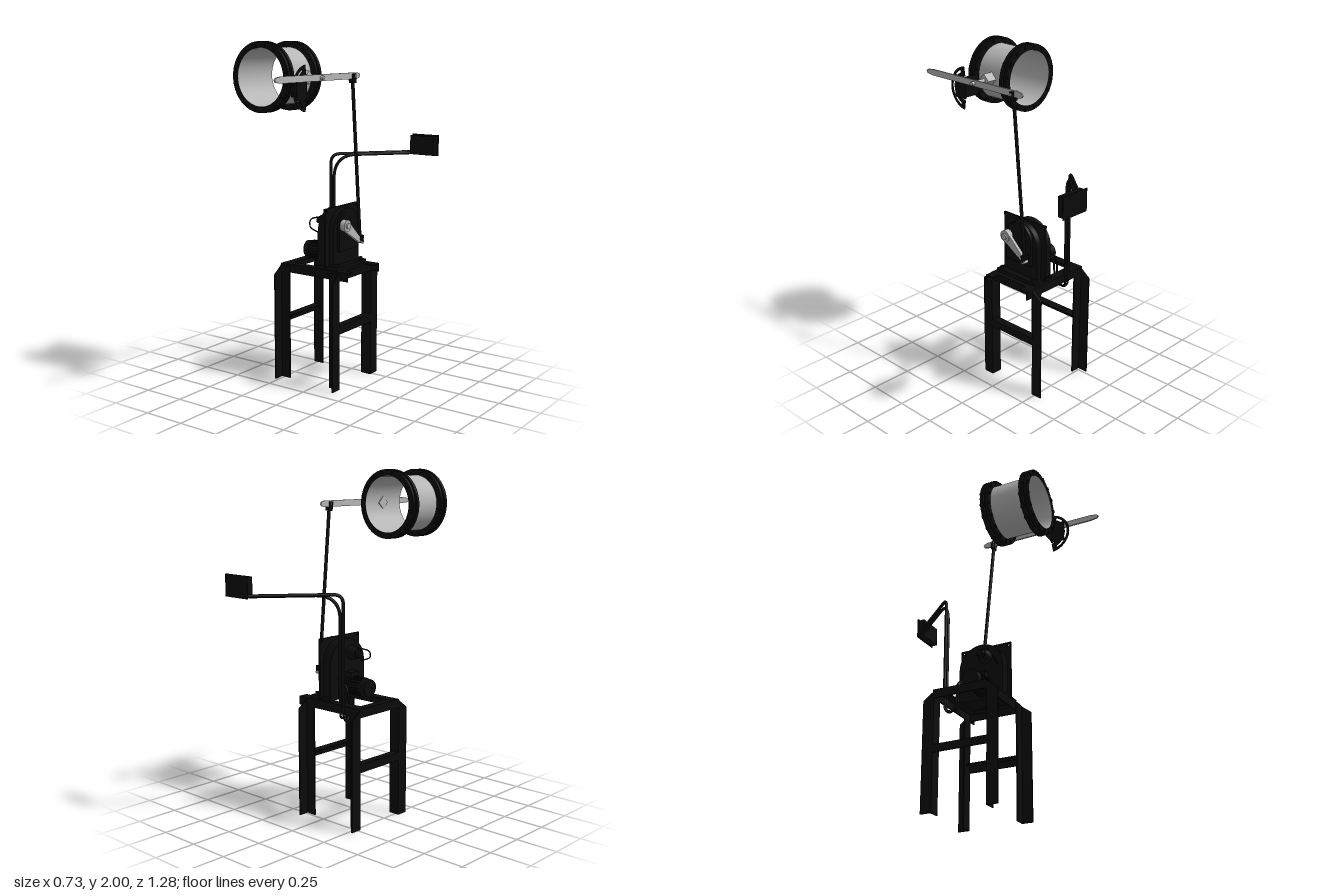
import * as THREE from 'three';

const mat = (name, color) => Object.assign(new THREE.MeshStandardMaterial({ color }), { name });

export function createModel() {
  const root = new THREE.Group();
  const black = mat('black paint', 0x0b0b0b);
  const steel = mat('bare steel', 0xb6b6b6);
  const shell = mat('pipe steel', 0xb6b6b6);
  shell.side = THREE.DoubleSide;
  const v = (x, y, z) => new THREE.Vector3(x, y, z);

  const add = (name, geo, m = black, parent = root) => {
    const mesh = new THREE.Mesh(geo, m);
    mesh.name = name;
    parent.add(mesh);
    return mesh;
  };
  const group = (name) => {
    const g = new THREE.Group();
    g.name = name;
    root.add(g);
    return g;
  };
  // Box given by its limits on each axis
  const box = (name, x0, x1, y0, y1, z0, z1, m, parent) =>
    add(name, new THREE.BoxGeometry(x1 - x0, y1 - y0, z1 - z0)
      .translate((x0 + x1) / 2, (y0 + y1) / 2, (z0 + z1) / 2), m, parent);
  // Round bar between two points
  const bar = (name, a, b, r0, r1 = r0, m = black, parent = root, sides = 20) => {
    const mesh = add(name, new THREE.CylinderGeometry(r1, r0, a.distanceTo(b), sides), m, parent);
    mesh.position.copy(a).lerp(b, 0.5);
    mesh.quaternion.setFromUnitVectors(v(0, 1, 0), b.clone().sub(a).normalize());
    return mesh;
  };
  // Outline drawn in (z, y), extruded from x0 to x1
  const sidePlate = (name, shape, x0, x1, m, parent) =>
    add(name, new THREE.ExtrudeGeometry(shape, { depth: x1 - x0, bevelEnabled: false, curveSegments: 24 })
      .rotateY(Math.PI / 2).translate(x0, 0, 0), m, parent);
  const outline = (pts) => new THREE.Shape(pts.map(([z, y]) => new THREE.Vector2(-z, y)));

  // Stand: four angle-iron legs with bevelled tops
  const stand = group('stand');
  for (const sx of [-1, 1]) {
    const x = sx < 0 ? -0.274 : 0.15;
    for (const sz of [-1, 1]) {
      const z = sz < 0 ? -0.23 : 0.098, zo = z + sz * 0.068;
      sidePlate('legSideFlange', outline([[z, 0], [zo, 0], [zo, 0.642], [z, 0.692]]),
        Math.min(x, x - sx * 0.008), Math.max(x, x - sx * 0.008), black, stand);
      box('legFrontFlange', Math.min(x, x - sx * 0.068), Math.max(x, x - sx * 0.068), 0, 0.69,
        Math.min(z, z + sz * 0.008), Math.max(z, z + sz * 0.008), black, stand);
    }
    // Side brace and side rail, both angles
    const xi = x - sx * 0.008, xf = x - sx * 0.05;
    for (const [name, y0, y1] of [['sideBrace', 0.334, 0.38], ['sideRail', 0.65, 0.7]]) {
      box(name, Math.min(x, xi), Math.max(x, xi), y0, y1, -0.23, 0.098, black, stand);
      box(name + 'Flange', Math.min(x, xf), Math.max(x, xf), y1 - 0.008, y1, -0.23, 0.098, black, stand);
    }
  }
  // Long rails across the top
  box('frontRail', -0.274, 0.2, 0.65, 0.7, 0.085, 0.093, black, stand);
  box('frontRailTop', -0.274, 0.2, 0.693, 0.701, 0.04, 0.093, black, stand);
  box('backRail', -0.274, 0.2, 0.65, 0.7, -0.238, -0.23, black, stand);
  box('backRailTop', -0.274, 0.2, 0.693, 0.701, -0.238, -0.18, black, stand);

  // Gearbox: arched housing on both sides of a square plate with corner holes
  const gearbox = group('gearbox');
  box('gearboxBase', -0.025, 0.12, 0.7, 0.72, -0.22, 0.085, black, gearbox);
  const square = outline([[0.093, 0.71], [-0.232, 0.71], [-0.232, 1.056], [0.093, 1.056]]);
  for (const z of [0.078, -0.217]) {
    const hole = new THREE.Path();
    hole.absarc(-z, 1.041, 0.007, 0, Math.PI * 2, true);
    square.holes.push(hole);
  }
  sidePlate('gearboxPlate', square, 0.035, 0.047, black, gearbox);
  const arch = (r, base) => {
    const s = new THREE.Shape();
    s.moveTo(0.07 - r, base);
    s.lineTo(0.07 + r, base);
    s.absarc(0.07, 1.045 - r, r, 0, Math.PI, false);
    return s;
  };
  sidePlate('innerHousing', arch(0.14, 0.72), -0.025, 0.035, black, gearbox);
  sidePlate('outerHousing', arch(0.13, 0.72), 0.047, 0.08, black, gearbox);
  sidePlate('outerCover', arch(0.095, 0.8), 0.08, 0.098, black, gearbox);
  for (const z of [-0.19, 0.06]) {
    bar('footBolt', v(0.1, 0.7, z), v(0.1, 0.735, z), 0.012, 0.012, black, gearbox, 6);
  }

  // Motor with cooling ribs, fan cover and terminal box
  const motor = group('motor');
  bar('motorBody', v(-0.145, 0.775, -0.055), v(-0.02, 0.775, -0.055), 0.05, 0.05, black, motor);
  bar('fanCover', v(-0.187, 0.775, -0.055), v(-0.145, 0.775, -0.055), 0.05, 0.055, black, motor);
  bar('motorFlange', v(-0.04, 0.775, -0.055), v(-0.02, 0.775, -0.055), 0.06, 0.06, black, motor);
  for (let i = 0; i < 20; i++) {
    const a = (i / 20) * Math.PI * 2;
    add('coolingRib', new THREE.BoxGeometry(0.1, 0.012, 0.004).translate(0, 0.05, 0)
      .rotateX(a).translate(-0.095, 0.775, -0.055), black, motor);
  }
  box('terminalBox', -0.07, -0.01, 0.82, 0.855, -0.09, -0.02, black, motor);

  // Rotary switch above the motor
  const rotary = group('rotarySwitch');
  bar('switchBody', v(-0.08, 0.96, -0.04), v(-0.02, 0.96, -0.04), 0.03, 0.045, black, rotary);
  bar('switchCap', v(-0.1, 0.96, -0.04), v(-0.08, 0.96, -0.04), 0.02, 0.024, black, rotary);
  add('switchCable', new THREE.TubeGeometry(new THREE.CatmullRomCurve3([
    v(-0.07, 0.985, -0.01), v(-0.11, 0.97, 0.02), v(-0.1, 0.93, 0.04), v(-0.03, 0.9, 0.04)]), 24, 0.004, 8), black, rotary);

  // Crank on the output shaft
  const crank = group('crank');
  bar('crankShaft', v(0.09, 0.955, 0), v(0.148, 0.955, 0), 0.018, 0.018, steel, crank);
  bar('crankHub', v(0.105, 0.955, 0), v(0.138, 0.955, 0), 0.034, 0.034, steel, crank);
  sidePlate('crankArm', outline([[0.03, 0.965], [0.016, 0.925], [-0.14, 0.829], [-0.158, 0.83],
    [-0.155, 0.85], [-0.015, 0.982]]), 0.114, 0.133, steel, crank);
  bar('crankPin', v(0.108, 0.84, -0.148), v(0.145, 0.84, -0.148), 0.012, 0.012, steel, crank);

  // Connecting rod with forked ends
  const rod = group('connectingRod');
  const rodTop = v(0.124, 1.81, -0.06), rodLow = v(0.124, 0.838, -0.148);
  const at = (t) => rodLow.clone().lerp(rodTop, t);
  bar('rodBar', at(0.01), at(0.96), 0.01, 0.01, black, rod);
  for (const [a, b] of [[0, 0.04], [0.955, 1.008]]) {
    for (const dx of [-0.0125, 0.0125]) {
      bar('forkCheek', at(a).add(v(dx, 0, 0)), at(b).add(v(dx, 0, 0)), 0.011, 0.014, black, rod, 8);
    }
  }
  bar('forkPin', v(0.1, 1.805, -0.06), v(0.15, 1.805, -0.06), 0.009, 0.009, steel, rod);

  // Pipe section with paired flanges and studs
  const cx = -0.17, cy = 1.806, pipe = group('pipeSection');
  add('pipe', new THREE.CylinderGeometry(0.159, 0.159, 0.3, 64, 1, true)
    .rotateX(Math.PI / 2).translate(cx, cy, 0.248), shell, pipe);
  const ring = (name, ro, ri, z0, z1) => {
    const s = new THREE.Shape().absarc(0, 0, ro, 0, Math.PI * 2, false);
    s.holes.push(new THREE.Path().absarc(0, 0, ri, 0, Math.PI * 2, true));
    add(name, new THREE.ExtrudeGeometry(s, { depth: z1 - z0, bevelEnabled: false, curveSegments: 64 })
      .translate(cx, cy, z0), black, pipe);
  };
  for (const z of [0.093, 0.342]) {
    ring('flange', 0.194, 0.16, z + 0.004, z + 0.023);
    ring('gasket', 0.17, 0.16, z + 0.023, z + 0.036);
    ring('flange', 0.194, 0.16, z + 0.036, z + 0.056);
    for (let i = 0; i < 16; i++) {
      const a = ((i + 0.5) / 16) * Math.PI * 2;
      const x = cx + Math.cos(a) * 0.18, y = cy + Math.sin(a) * 0.18;
      bar('stud', v(x, y, z - 0.003), v(x, y, z + 0.063), 0.006, 0.006, black, pipe, 8);
      for (const dz of [-0.001, 0.053]) {
        bar('nut', v(x, y, z + dz), v(x, y, z + dz + 0.009), 0.011, 0.011, black, pipe, 6);
      }
    }
  }

  // Lever, its shaft and the square boss on the pipe
  const lever = group('lever');
  bar('leverBoss', v(-0.018, cy, 0.245), v(0.05, cy, 0.245), 0.038, 0.038, steel, lever, 4).geometry.computeVertexNormals();
  lever.children[0].geometry = lever.children[0].geometry.toNonIndexed();
  lever.children[0].geometry.computeVertexNormals();
  bar('leverShaft', v(0.04, cy, 0.245), v(0.148, cy, 0.245), 0.011, 0.011, steel, lever);
  sidePlate('leverBar', outline([[0.643, cy], [0.632, cy + 0.012], [0.59, cy + 0.018], [-0.1, cy + 0.018],
    [-0.125, cy + 0.012], [-0.133, cy], [-0.125, cy - 0.012], [-0.1, cy - 0.018], [0.59, cy - 0.018],
    [0.632, cy - 0.012]]), 0.119, 0.128, steel, lever);

  // Slotted quadrant held off the front flange
  const quadrant = group('quadrant');
  box('quadrantBracket', 0, 0.1, 1.7, 1.82, 0.338, 0.343, black, quadrant);
  const arcBand = (ro, ri, a0, a1, Type) => {
    const s = new Type();
    s.absarc(-0.332, 1.752, ro, a0, a1, false);
    s.absarc(-0.332, 1.752, ri, a1, a0, true);
    s.closePath();
    return s;
  };
  const sector = arcBand(0.127, 0.072, Math.PI * 0.55, Math.PI * 1.45, THREE.Shape);
  sector.holes.push(arcBand(0.112, 0.098, Math.PI * 0.64, Math.PI * 1.36, THREE.Path));
  sidePlate('quadrantPlate', sector, 0.098, 0.103, black, quadrant);
  box('quadrantWeb', 0.098, 0.103, 1.69, 1.82, 0.338, 0.425, black, quadrant);

  // Control box on its back plate
  const control = group('controlBox');
  box('boxBody', 0.188, 0.352, 1.315, 1.43, -0.637, -0.597, black, control);
  box('boxPlate', 0.18, 0.362, 1.31, 1.437, -0.641, -0.636, black, control);

  // Two conduits bending from the stand to the control box, with cable loops below
  const conduits = group('conduits');
  const dir = v(0.642, 0, -0.766);
  for (const [x, bend, y, len] of [[-0.149, 0.055, 1.327, 0.52], [-0.126, 0.14, 1.322, 0.5]]) {
    const corner = v(x, y, -0.236), out = (d) => corner.clone().addScaledVector(dir, d);
    const path = new THREE.CurvePath();
    const low = v(x, 0.66, -0.236), knee = v(x, y - bend, -0.236);
    path.add(new THREE.LineCurve3(low, knee));
    path.add(new THREE.QuadraticBezierCurve3(knee, corner, out(bend)));
    path.add(new THREE.LineCurve3(out(bend), out(len)));
    add('conduit', new THREE.TubeGeometry(path, 90, 0.0095, 10), black, conduits);
    add('cableLoop', new THREE.TubeGeometry(new THREE.CatmullRomCurve3([
      v(x, 0.68, -0.236), v(x, 0.63, -0.232), v(x + 0.006, 0.604 + (x + 0.149) * 0.7, -0.205),
      v(x + 0.014, 0.63, -0.175), v(x + 0.02, 0.7, -0.168), v(x + 0.04, 0.79, -0.17),
      v(-0.02, 0.83, -0.15)]), 48, 0.006, 8), black, conduits);
  }
  return root;
}
